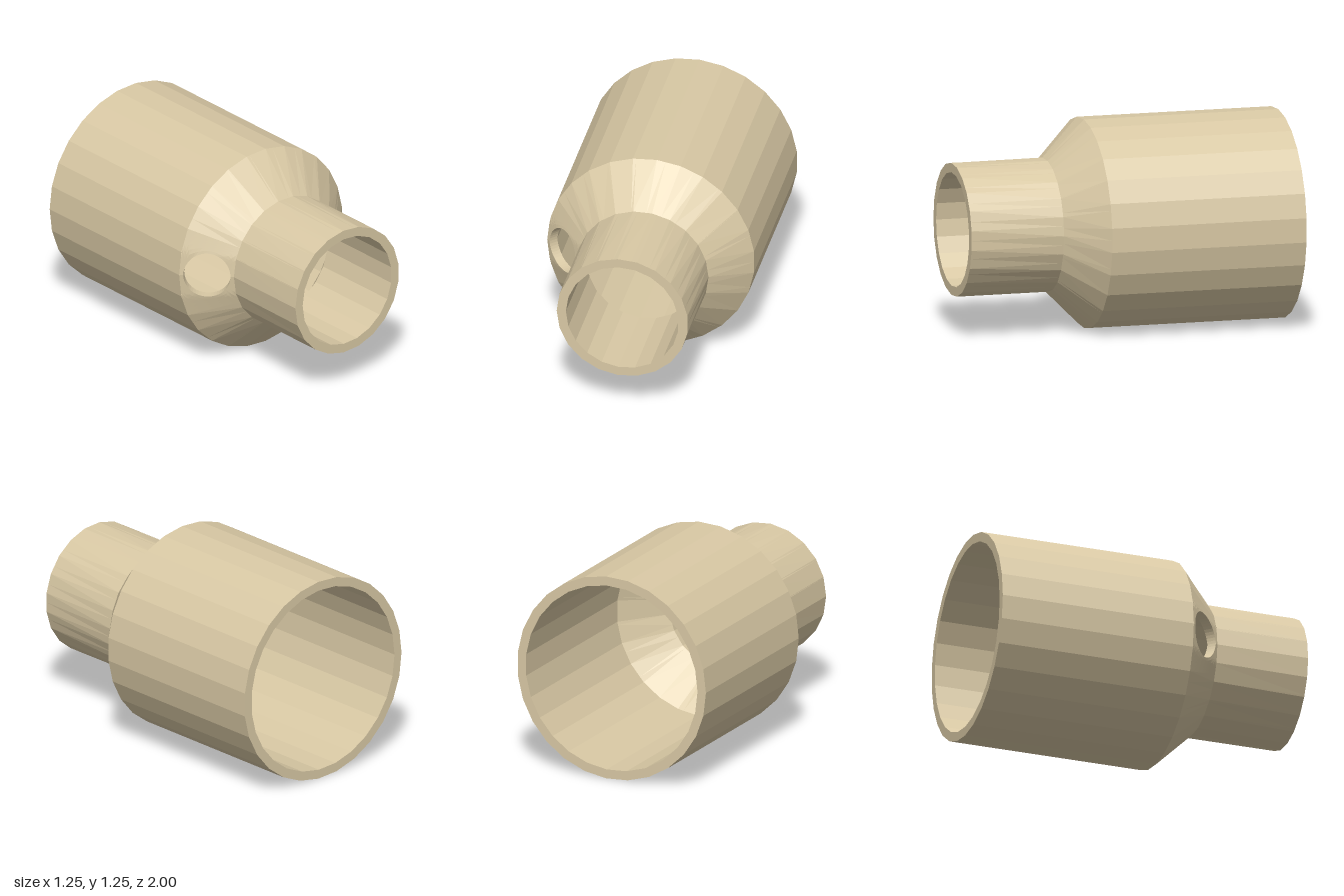
import * as THREE from 'three';

const CY = 0.627;
const TAU = Math.PI * 2;

// Rings of the pipe: radius, z, number of sides (a corner always lies at -x)
const ring = (r, z, n) => ({ r, z, n });
const backOuter = ring(0.628, -1, 27), shoulderOuter = ring(0.628, 0.2, 27);
const neckOuter = ring(0.398, 0.43, 22), frontOuter = ring(0.398, 1, 21);
const frontInner = ring(0.342, 1, 21), neckInner = ring(0.342, 0.407, 21);
const shoulderInner = ring(0.572, 0.177, 27), backInner = ring(0.572, -1, 27);

// Radius of a ring's polygon in direction a
function polyRadius({ r, n }, a) {
  const seg = TAU / n;
  const d = ((((a - Math.PI) % seg) + seg) % seg) - seg / 2;
  return r * Math.cos(Math.PI / n) / Math.cos(d);
}

const place = (a, r, z) => new THREE.Vector3(r * Math.cos(a) + 0.002, CY + r * Math.sin(a), z);

// Radius of the ruled wall between two rings
function wallRadius(A, B, a, z) {
  const t = (z - A.z) / (B.z - A.z);
  return THREE.MathUtils.lerp(polyRadius(A, a), polyRadius(B, a), t);
}

// Mesh from a grid of points: rows[j][i]
function gridMesh(name, rows, material, flip = false) {
  const pos = [];
  const tri = (p, q, s) => (flip ? [p, s, q] : [p, q, s]).forEach(v => pos.push(v.x, v.y, v.z));
  for (let j = 0; j + 1 < rows.length; j++) {
    for (let i = 0; i + 1 < rows[j].length; i++) {
      tri(rows[j][i], rows[j][i + 1], rows[j + 1][i + 1]);
      tri(rows[j][i], rows[j + 1][i + 1], rows[j + 1][i]);
    }
  }
  const g = new THREE.BufferGeometry();
  g.setAttribute('position', new THREE.Float32BufferAttribute(pos, 3));
  g.computeVertexNormals();
  const m = new THREE.Mesh(g, material);
  m.name = name;
  return m;
}

// Wall between two rings, with corners of both; gap leaves out a sector about -x
function wall(name, A, B, material, gap = 0) {
  const from = -Math.PI + gap, to = Math.PI - gap;
  const angles = [from, to];
  for (const n of new Set([A.n, B.n])) {
    for (let k = 0; k <= n; k++) {
      const a = -Math.PI + k * TAU / n;
      if (a > from + 1e-4 && a < to - 1e-4) angles.push(a);
    }
  }
  angles.sort((p, q) => p - q);
  const row = R => angles.map(a => place(a, polyRadius(R, a), R.z));
  return gridMesh(name, [row(A), row(B)], material);
}

// Side hole, square to the cone
const HOLE = { r: 0.14, x: -0.5115, z: 0.3165 };
const GAP = 2 * TAU / 27;
const STEPS = 48;

// Rim of the hole where it meets a cone wall, as [angle, z] pairs
function holeRim(A, B) {
  const s = Math.SQRT1_2, rim = [];
  for (let i = 0; i <= STEPS; i++) {
    const a = i / STEPS * TAU, c = HOLE.r * Math.cos(a) * s, y = -HOLE.r * Math.sin(a);
    let lo = -0.2, hi = 0.15, angle, z;
    for (let k = 0; k < 40; k++) {
      const t = (lo + hi) / 2, x = HOLE.x + c - t * s;
      z = HOLE.z + c + t * s;
      angle = Math.atan2(y, x);
      if (angle < 0) angle += TAU;
      if (Math.hypot(x, y) > wallRadius(A, B, angle, z)) hi = t; else lo = t;
    }
    rim.push([angle, z]);
  }
  return rim;
}

// Cone sector around the hole, spread from the rim to the sector's border
function holedSector(name, A, B, rim, material, flip) {
  const mid = (A.z + B.z) / 2, half = Math.abs(B.z - A.z) / 2, rows = [];
  for (let j = 0; j <= 6; j++) {
    rows.push(rim.map(([ra, rz], i) => {
      const a = i / STEPS * TAU, c = Math.cos(a), s = Math.sin(a);
      const m = Math.max(Math.abs(c), Math.abs(s));
      const angle = THREE.MathUtils.lerp(ra, Math.PI + GAP * s / m, j / 6);
      const z = THREE.MathUtils.lerp(rz, mid + half * c / m, j / 6);
      return place(angle, wallRadius(A, B, angle, z), z);
    }));
  }
  return gridMesh(name, rows, material, flip);
}

export function createModel() {
  const group = new THREE.Group();
  group.name = 'pipeReducer';
  const mat = new THREE.MeshStandardMaterial({ color: 0xd8c8a4, flatShading: true });

  // Turned walls, from the back outside round to the back inside
  group.add(
    wall('bodyOutside', backOuter, shoulderOuter, mat),
    wall('coneOutside', shoulderOuter, neckOuter, mat, GAP),
    wall('neckOutside', neckOuter, frontOuter, mat),
    wall('frontRim', frontOuter, frontInner, mat),
    wall('neckInside', frontInner, neckInner, mat),
    wall('coneInside', neckInner, shoulderInner, mat, GAP),
    wall('bodyInside', shoulderInner, backInner, mat),
    wall('backRim', backInner, backOuter, mat)
  );

  // Side hole through the cone
  const outer = holeRim(shoulderOuter, neckOuter);
  const inner = holeRim(shoulderInner, neckInner);
  const points = (rim, A, B) => rim.map(([a, z]) => place(a, wallRadius(A, B, a, z), z));
  group.add(
    holedSector('holeSectorOutside', shoulderOuter, neckOuter, outer, mat, false),
    holedSector('holeSectorInside', shoulderInner, neckInner, inner, mat, true),
    gridMesh('holeWall', [points(inner, shoulderInner, neckInner), points(outer, shoulderOuter, neckOuter)], mat)
  );
  return group;
}
